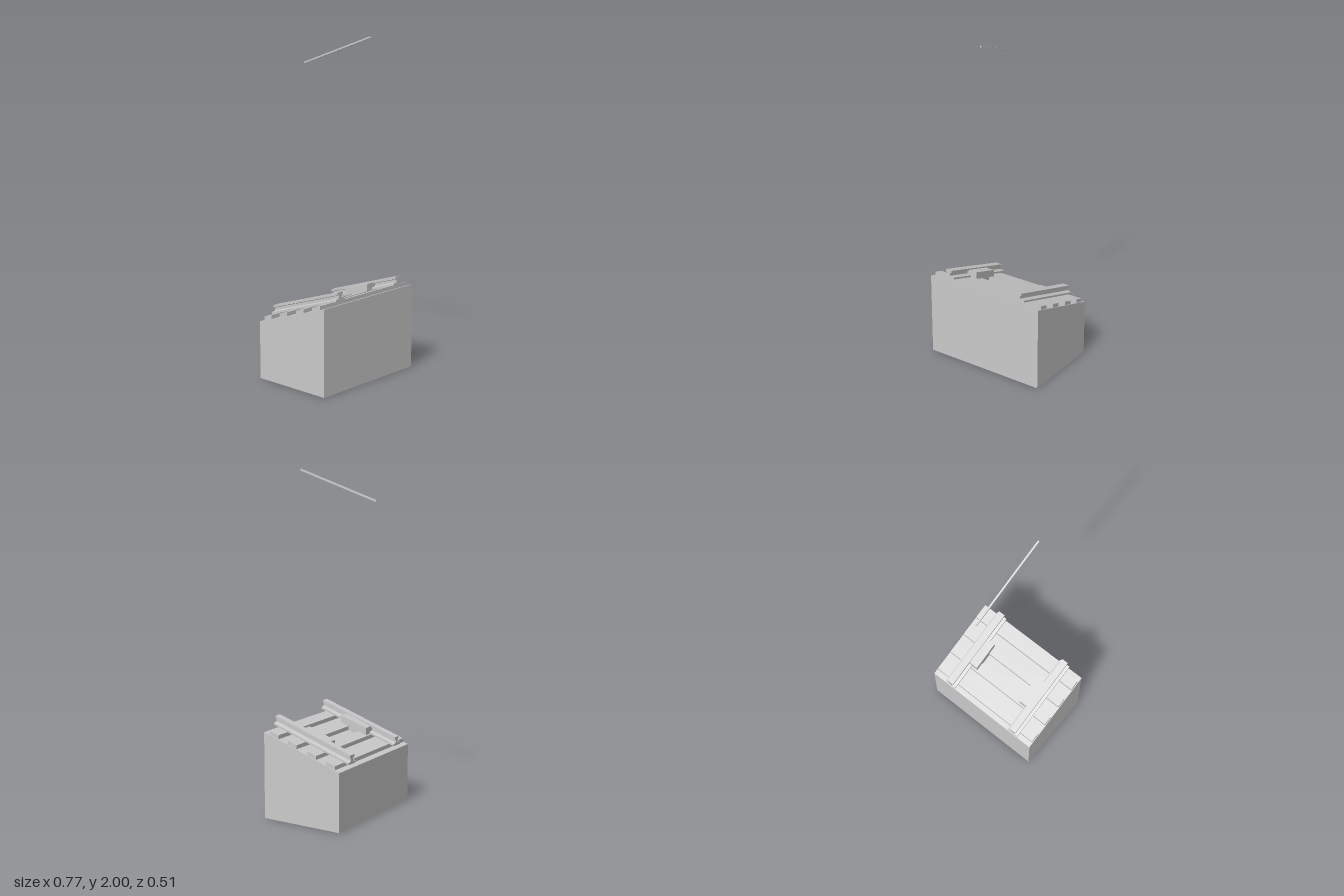
import * as THREE from 'three';

const SLOPE = Math.tan(THREE.MathUtils.degToRad(18));
const HALF = 0.256; // half length along z
const material = new THREE.MeshStandardMaterial({ color: 0xcccccc, flatShading: true });

// Shear a geometry so that it follows the incline; heights are given at the front end
function incline(geometry, keepGround = false) {
  const p = geometry.attributes.position;
  for (let i = 0; i < p.count; i++) {
    if (keepGround && p.getY(i) < 0.001) continue;
    p.setY(i, p.getY(i) + (p.getZ(i) - HALF) * SLOPE);
  }
  geometry.computeVertexNormals();
  return geometry;
}

function box(x0, x1, y0, y1, z0, z1) {
  return new THREE.BoxGeometry(x1 - x0, y1 - y0, z1 - z0)
    .translate((x0 + x1) / 2, (y0 + y1) / 2, (z0 + z1) / 2);
}

// I-shaped rail section: wide foot, thin web, narrower head
function railGeometry(x) {
  const half = [[0.0375, 0.536], [0.0375, 0.547], [0.01, 0.553], [0.01, 0.57], [0.022, 0.573], [0.022, 0.588]];
  const right = half.map(([dx, y]) => new THREE.Vector2(x + dx, y));
  const left = half.map(([dx, y]) => new THREE.Vector2(x - dx, y)).reverse();
  const shape = new THREE.Shape([...right, ...left]);
  return new THREE.ExtrudeGeometry(shape, { depth: 2 * HALF, bevelEnabled: false })
    .translate(0, 0, -HALF);
}

export function createModel() {
  const group = new THREE.Group();
  const add = (name, geometry) => {
    const mesh = new THREE.Mesh(geometry, material);
    mesh.name = name;
    group.add(mesh);
  };

  // Wedge-topped ground block
  add('groundBlock', incline(box(-0.385, 0.385, 0, 0.513, -HALF, HALF), true));

  // Four sleepers across the incline
  [-0.194, -0.068, 0.064, 0.19].forEach((z, i) =>
    add(`sleeper${i + 1}`, incline(box(-0.38, 0.38, 0.51, 0.536, z - 0.03, z + 0.03))));

  // Rails with a block against the inner side of each
  for (const [side, s] of [['left', 1], ['right', -1]]) {
    add(`${side}Rail`, incline(railGeometry(s * 0.25)));
    const a = s * 0.17, b = s * 0.24;
    add(`${side}RailBlock`, incline(box(Math.min(a, b), Math.max(a, b), 0.511, 0.58, -0.089, 0.087)));
  }

  // Overhead wire parallel to the track
  add('overheadWire', incline(box(-0.005, 0.005, 1.99, 2, -HALF, HALF)));

  return group;
}
